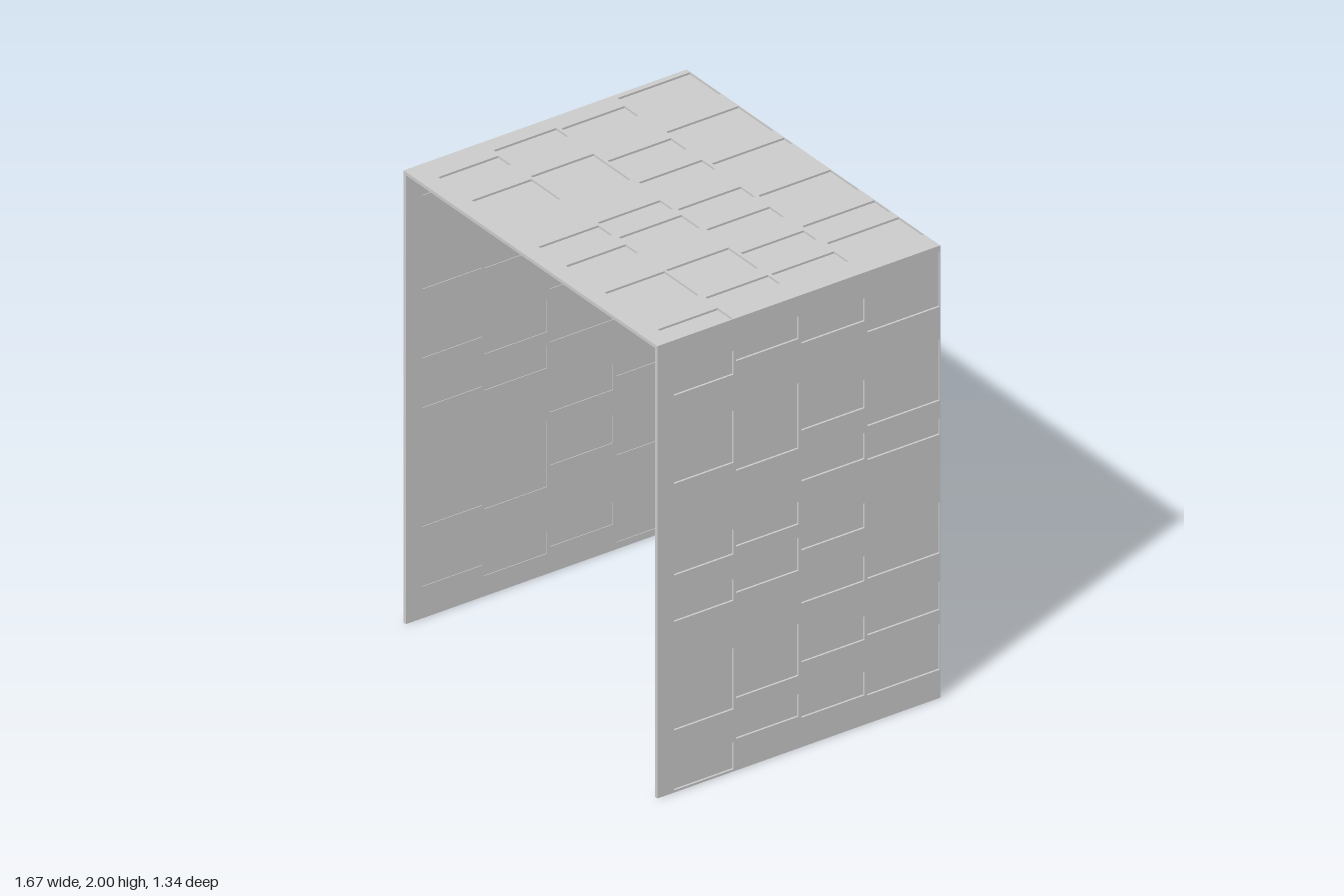
import * as THREE from 'three';

const HALF_W = 0.835, HALF_D = 0.668, HEIGHT = 2, T = 0.015;

// four rows of recesses, back to front: [z start, z end]
const ROWS = [[-0.665, -0.325], [-0.31, -0.012], [0.002, 0.297], [0.308, 0.59]];

// recess spans along x for each roof row
const ROOF = [
  [[-0.81, -0.605], [-0.49, -0.26], [-0.19, -0.135], [0.115, 0.3], [0.405, 0.51], [0.565, 0.73]],
  [[-0.745, -0.655], [-0.44, -0.335], [-0.235, -0.145], [0.02, 0.115], [0.21, 0.305], [0.435, 0.52], [0.635, 0.73]],
  [[-0.76, -0.68], [-0.515, -0.27], [-0.075, 0.01], [0.065, 0.185], [0.375, 0.57], [0.635, 0.715]],
  [[-0.715, -0.63], [-0.495, -0.305], [-0.055, 0.035], [0.125, 0.205], [0.38, 0.605], [0.73, 0.83]],
];

// recess spans along the height for each side wall row
const WALL = [
  [[0.125, 0.33], [0.39, 0.515], [0.64, 0.865], [1.165, 1.235], [1.315, 1.585], [1.73, 1.97]],
  [[0.13, 0.235], [0.375, 0.48], [0.635, 0.745], [0.87, 0.98], [1.175, 1.29], [1.4, 1.525], [1.785, 1.885]],
  [[0.14, 0.24], [0.32, 0.55], [0.785, 0.93], [0.99, 1.09], [1.325, 1.615], [1.81, 1.91]],
  [[0.01, 0.13], [0.275, 0.545], [0.755, 0.85], [0.96, 1.07], [1.365, 1.595], [1.755, 1.86]],
];

const material = new THREE.MeshStandardMaterial({ color: 0xcccccc, side: THREE.DoubleSide });

function rectangle(PathType, u0, u1, z0, z1) {
  return new PathType([[u0, -z1], [u1, -z1], [u1, -z0], [u0, -z0]].map(([x, y]) => new THREE.Vector2(x, y)));
}

// horizontal slab from y = 0 to T, with a thin floor closing each opening
function recessedSlab(name, u0, u1, rows) {
  const group = new THREE.Group();
  group.name = name;
  const shape = rectangle(THREE.Shape, u0, u1, -HALF_D, HALF_D);
  rows.forEach((spans, i) => {
    const [z0, z1] = ROWS[i];
    for (const [a, b] of spans) {
      shape.holes.push(rectangle(THREE.Path, a, b, z0, z1));
      const floor = new THREE.Mesh(new THREE.BoxGeometry(b - a, 0.003, z1 - z0), material);
      floor.name = 'recessFloor';
      floor.position.set((a + b) / 2, 0.0045, (z0 + z1) / 2);
      group.add(floor);
    }
  });
  const slab = new THREE.Mesh(
    new THREE.ExtrudeGeometry(shape, { depth: T, bevelEnabled: false }).rotateX(-Math.PI / 2), material);
  slab.name = 'slab';
  group.add(slab);
  return group;
}

export function createModel() {
  const model = new THREE.Group();
  model.name = 'recessedTunnel';

  // roof
  const roof = recessedSlab('roof', -HALF_W, HALF_W, ROOF);
  roof.position.y = HEIGHT - T;
  model.add(roof);

  // side walls: the same slab turned either way, so its pattern runs upside down on one side
  const mid = HEIGHT / 2;
  const wallRows = WALL.map(row => row.map(([lo, hi]) => [mid - hi, mid - lo]));
  for (const side of [1, -1]) {
    const flipped = side < 0;
    const wall = recessedSlab(flipped ? 'rightWall' : 'leftWall',
      flipped ? -mid : T - mid, flipped ? mid - T : mid, wallRows);
    wall.rotation.z = -side * Math.PI / 2;
    wall.position.set(side * (HALF_W - T), mid, 0);
    model.add(wall);
  }

  // plain back sheet
  const back = new THREE.Mesh(new THREE.PlaneGeometry(HALF_W * 2, HEIGHT), material);
  back.name = 'backWall';
  back.position.set(0, HEIGHT / 2, -HALF_D);
  back.rotation.y = Math.PI;
  model.add(back);

  return model;
}
